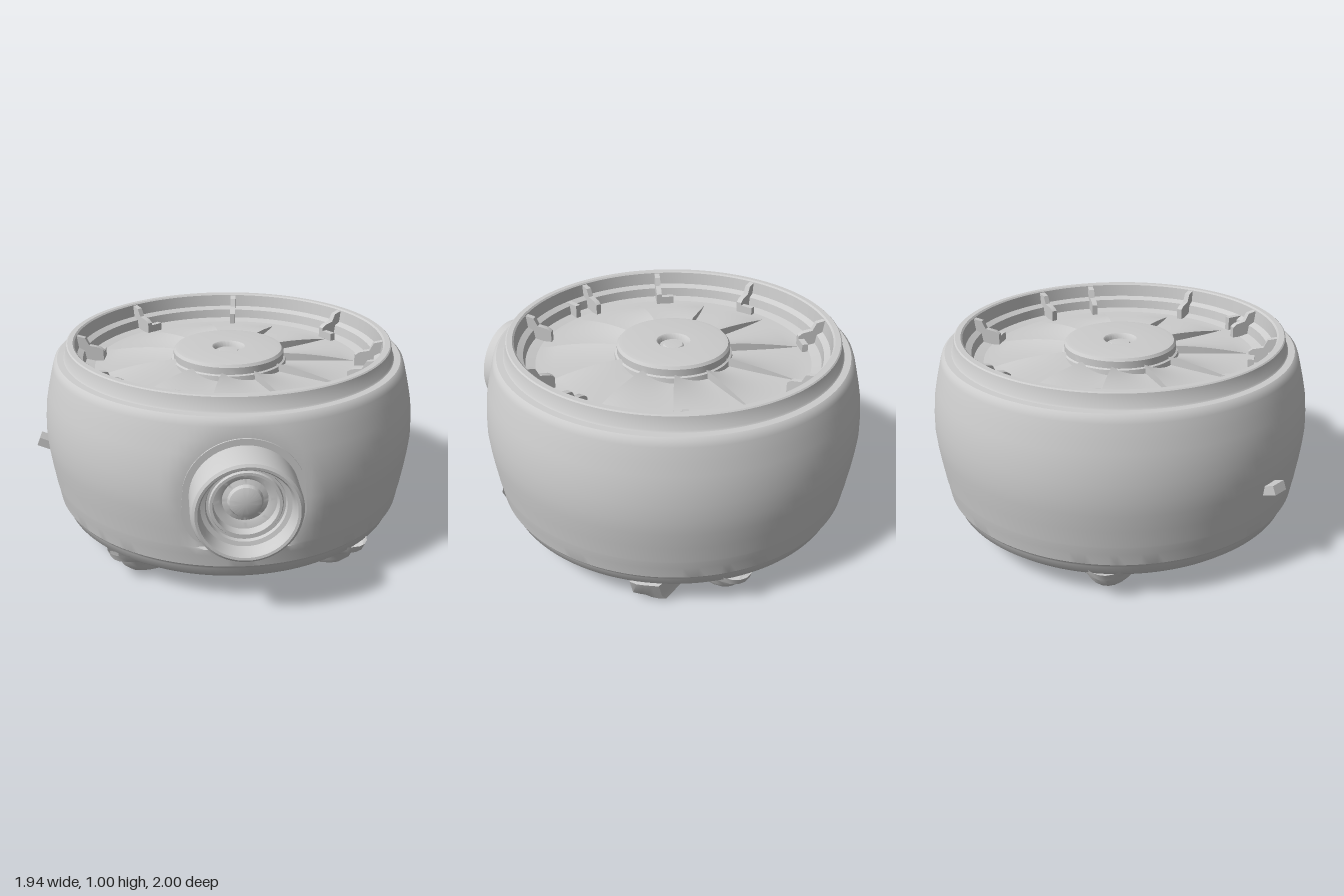
import * as THREE from 'three';
import { toCreasedNormals } from 'three/addons/utils/BufferGeometryUtils.js';

const CX = 0.02, CZ = -0.06; // axis of the drum

export function createModel() {
  const model = new THREE.Group();
  const grey = new THREE.MeshStandardMaterial({ color: 0xcccccc, side: THREE.DoubleSide });
  grey.name = 'light grey';

  const add = (name, geo, x = 0, y = 0, z = 0) => {
    const mesh = new THREE.Mesh(toCreasedNormals(geo, 0.6), grey);
    mesh.name = name;
    mesh.position.set(x, y, z);
    model.add(mesh);
    return mesh;
  };
  const lathe = (pts, seg) => new THREE.LatheGeometry(pts.map(p => new THREE.Vector2(...p)), seg);
  const shape = pts => new THREE.Shape(pts.map(p => new THREE.Vector2(...p)));
  const moveVertices = (geo, rule) => {
    const p = geo.attributes.position, v = new THREE.Vector3();
    for (let i = 0; i < p.count; i++) {
      rule(v.fromBufferAttribute(p, i));
      p.setXYZ(i, v.x, v.y, v.z);
    }
    return geo;
  };

  // Drum shell with its rim; the front is cut flat behind the port
  const shell = lathe([
    [0, 0.11], [0.8, 0.11], [0.84, 0.12], [0.868, 0.145], [0.886, 0.19], [0.891, 0.202], [0.899, 0.21],
    [0.908, 0.27], [0.915, 0.305], [0.916, 0.315], [0.928, 0.4], [0.937, 0.48], [0.942, 0.55], [0.938, 0.63],
    [0.929, 0.71], [0.916, 0.77], [0.901, 0.83], [0.885, 0.89], [0.876, 0.915], [0.862, 0.927], [0.83, 0.928],
    [0.824, 0.935], [0.812, 0.995], [0.806, 1.0], [0.78, 1.0], [0.772, 0.993], [0.764, 0.93],
    [0.735, 0.915], [0.728, 0.87], [0.68, 0.86],
  ], 160);
  moveVertices(shell, v => {
    if (v.y > 0.31) v.z = Math.min(v.z, 0.827 - CZ);
  });
  add('drumShell', shell, CX, 0, CZ);

  // Recessed floor made of stepped vanes
  const VANES = 11, RINGS = 12, COLS = 9;
  for (let n = 0; n < VANES; n++) {
    const pos = [], index = [];
    for (let i = 0; i <= RINGS; i++) {
      const s = i / RINGS, r = 0.27 + s * 0.43;
      const fade = Math.max(0, 1 - Math.pow(s / 0.85, 2));
      for (let j = 0; j <= COLS; j++) {
        const t = Math.min(j / (COLS - 1), 1);
        const rise = j === COLS ? 0 : t * t * 0.04 * fade;
        const a = (n + t) / VANES * Math.PI * 2 + 0.08 * s * (1 - s) + 0.05;
        pos.push(r * Math.cos(a), 0.86 + rise, r * Math.sin(a));
        if (i < RINGS && j < COLS) {
          const p = i * (COLS + 1) + j, q = p + COLS + 1;
          index.push(p, p + 1, q + 1, p, q + 1, q);
        }
      }
    }
    const vane = new THREE.BufferGeometry();
    vane.setAttribute('position', new THREE.Float32BufferAttribute(pos, 3));
    vane.setIndex(index);
    add('floorVane', vane, CX, 0, CZ);
  }

  // Central hub with a dimple and raised button
  add('hub', lathe([
    [0.295, 0.85], [0.29, 0.885], [0.28, 0.89], [0.28, 0.925], [0.27, 0.938], [0.25, 0.941],
    [0.083, 0.941], [0.075, 0.935], [0.068, 0.915], [0.052, 0.915], [0.045, 0.922], [0, 0.924],
  ], 72), CX, 0, CZ);

  // Ribs inside the rim; some carry a sideways foot
  const ribs = [
    [0.1, -0.77, 0], [-0.42, -0.6, 1], [0.6, -0.43, 1], [-0.7, -0.13, 1], [0.72, 0.05, 0],
    [0.62, 0.3, 0], [0.2, 0.63, 0], [-0.25, 0.62, 0], [-0.55, 0.35, 1],
  ];
  const ribShape = shape([
    [0.64, 0.85], [0.64, 0.915], [0.66, 0.93], [0.71, 0.94], [0.73, 0.98], [0.78, 0.992], [0.78, 0.85],
  ]);
  for (const [x, z, foot] of ribs) {
    const a = -Math.atan2(z - CZ, x - CX);
    const rib = new THREE.ExtrudeGeometry(ribShape, { depth: 0.028, bevelEnabled: false });
    rib.translate(0, 0, -0.014);
    add('rimRib', rib, CX, 0, CZ).rotation.y = a;
    if (foot) {
      const block = new THREE.BoxGeometry(0.03, 0.06, 0.09);
      block.translate(0.655, 0.87, 0.035);
      add('ribFoot', block, CX, 0, CZ).rotation.y = a;
    }
  }
  add('floorPeg', new THREE.BoxGeometry(0.03, 0.08, 0.08), -0.135, 0.89, 0.645).rotation.y = -0.25;

  // Mounting pad behind the port
  const pad = new THREE.Shape();
  pad.absarc(0, 0, 0.27, 0.2, Math.PI - 0.2);
  pad.lineTo(-0.275, -0.08);
  pad.quadraticCurveTo(-0.26, -0.24, -0.1, -0.27);
  pad.lineTo(0.1, -0.27);
  pad.quadraticCurveTo(0.26, -0.24, 0.275, -0.08);
  add('portPad', new THREE.ExtrudeGeometry(pad, { depth: 0.02, bevelEnabled: false, curveSegments: 24 }), CX, 0.57, 0.814);

  // Round port with a stepped bore and a button in the middle
  const port = lathe([
    [0.24, 0.79], [0.24, 0.975], [0.234, 0.992], [0.222, 1.0], [0.21, 0.998], [0.202, 0.985], [0.195, 0.93],
    [0.175, 0.925], [0.17, 0.91], [0.16, 0.91], [0.155, 0.92], [0.143, 0.92], [0.138, 0.88],
    [0.11, 0.875], [0.1, 0.87], [0.078, 0.878], [0.07, 0.893], [0.05, 0.901], [0, 0.905],
  ], 64);
  port.rotateX(Math.PI / 2);
  add('frontPort', port, CX, 0.57, 0);

  // Small side lug
  add('sideLug', new THREE.BoxGeometry(0.09, 0.045, 0.08), -0.928, 0.455, -0.02).rotation.z = -0.4;

  // Base plate: a lathe stretched into four corner lobes, longer front to back
  const base = lathe([[0, 0.006], [0.4, 0.006], [0.86, 0.006], [0.91, 0.015], [0.95, 0.05], [0.97, 0.09], [1.03, 0.12], [1.05, 0.16]], 160);
  moveVertices(base, v => {
    const k = Math.abs(Math.sin(2 * Math.atan2(v.x, v.z)));
    const r = 0.57 + 0.27 * Math.pow(k, 9);
    v.x *= r * 0.97;
    v.z *= r * 1.09;
  });
  add('basePlate', base, CX, 0, CZ);
  add('baseDisc', new THREE.CylinderGeometry(0.35, 0.35, 0.02, 64), CX, 0.011, CZ);
  add('baseCentre', new THREE.CylinderGeometry(0.05, 0.04, 0.02, 24), CX, 0.01, CZ);
  for (const x of [0.47, -0.47]) {
    add('baseBoss', new THREE.CylinderGeometry(0.045, 0.035, 0.02, 20), x, 0.01, 0);
  }

  // Hooked latch under the side edge, kept inside the drum's outline
  const hook = new THREE.ExtrudeGeometry(shape([
    [0.54, 0.09], [0.56, 0.02], [0.64, 0.01], [0.78, 0.012], [0.82, 0.04], [0.85, 0.13],
    [0.74, 0.14], [0.71, 0.07], [0.62, 0.07], [0.6, 0.12],
  ]), { depth: 0.15, steps: 4, bevelEnabled: false });
  hook.translate(-CX, 0, -0.44 - CZ);
  moveVertices(hook, v => {
    const fit = Math.min(1, (0.82 + v.y * 0.4) / Math.hypot(v.x, v.z));
    v.x *= fit;
    v.z *= fit;
  });
  add('latch', hook, CX, 0, CZ);

  return model;
}
